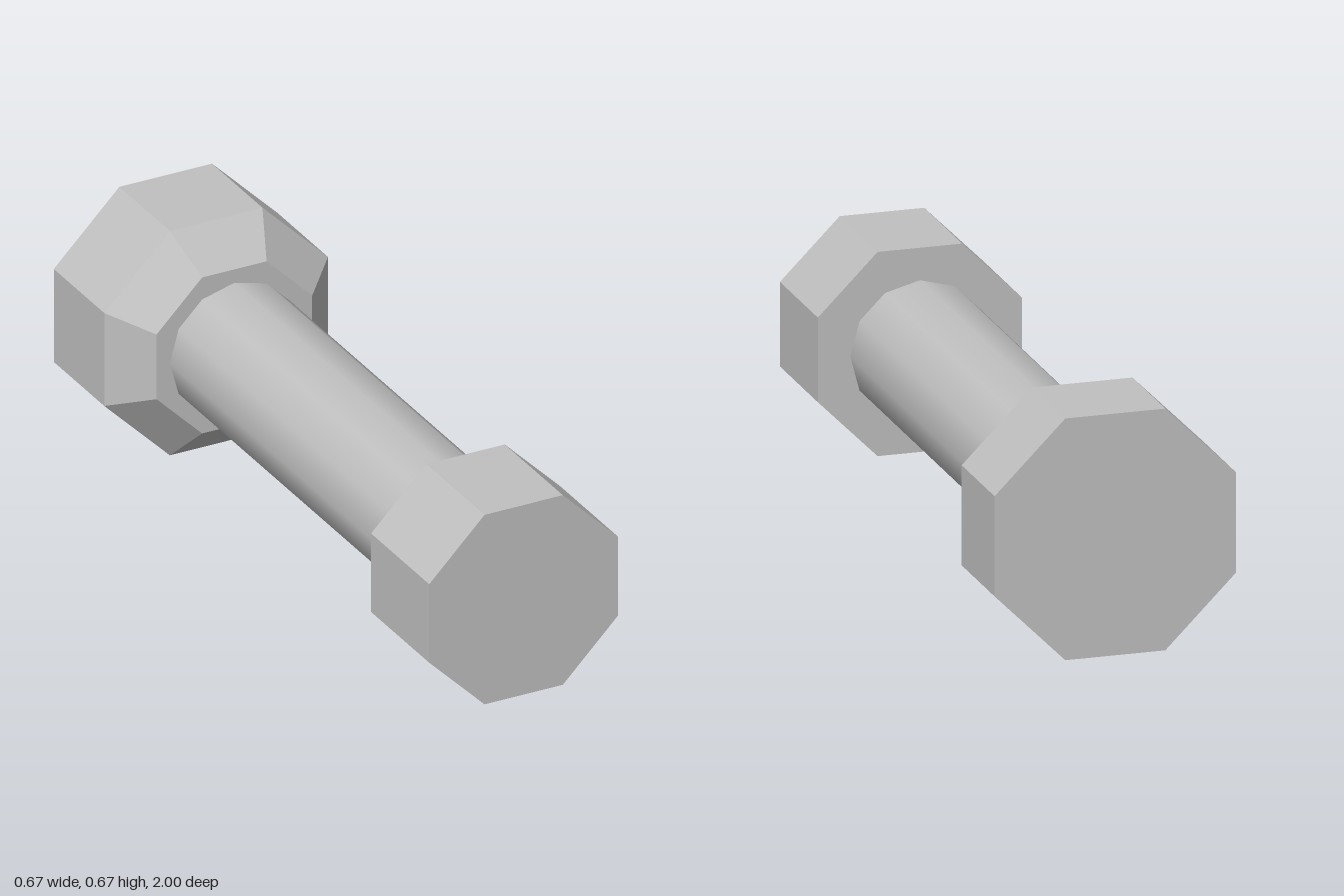
import * as THREE from 'three';

const AXIS_Y = 0.335; // height of the long axis

// Faceted octagonal solid along z; profile is [apothem, z] from low z to high z
function octagonSolid(name, profile, material) {
  const points = profile.map(([a, z]) => new THREE.Vector2(a / Math.cos(Math.PI / 8), z));
  const geometry = new THREE.LatheGeometry(points, 8, Math.PI / 8).toNonIndexed();
  geometry.rotateX(Math.PI / 2);
  geometry.computeVertexNormals();
  const mesh = new THREE.Mesh(geometry, material);
  mesh.name = name;
  mesh.position.y = AXIS_Y;
  return mesh;
}

export function createModel() {
  const group = new THREE.Group();
  group.name = 'bolt';
  const steel = new THREE.MeshStandardMaterial({ color: 0xc0c0c0 });
  steel.name = 'steelGrey';

  // Large head at the back, chamfered towards the shaft
  group.add(octagonSolid('backHead',
    [[0, -1], [0.335, -1], [0.335, -0.718], [0.233, -0.616], [0, -0.616]], steel));

  // Smaller plain head at the front
  group.add(octagonSolid('frontHead',
    [[0, 0.675], [0.283, 0.675], [0.283, 1], [0, 1]], steel));

  // Smooth shaft, with its open ends set into the heads
  const shaftGeometry = new THREE.CylinderGeometry(0.193, 0.193, 1.311, 12, 1, true);
  shaftGeometry.rotateX(Math.PI / 2);
  const shaft = new THREE.Mesh(shaftGeometry, steel);
  shaft.name = 'shaft';
  shaft.position.set(0, AXIS_Y, 0.0295);
  group.add(shaft);

  return group;
}
